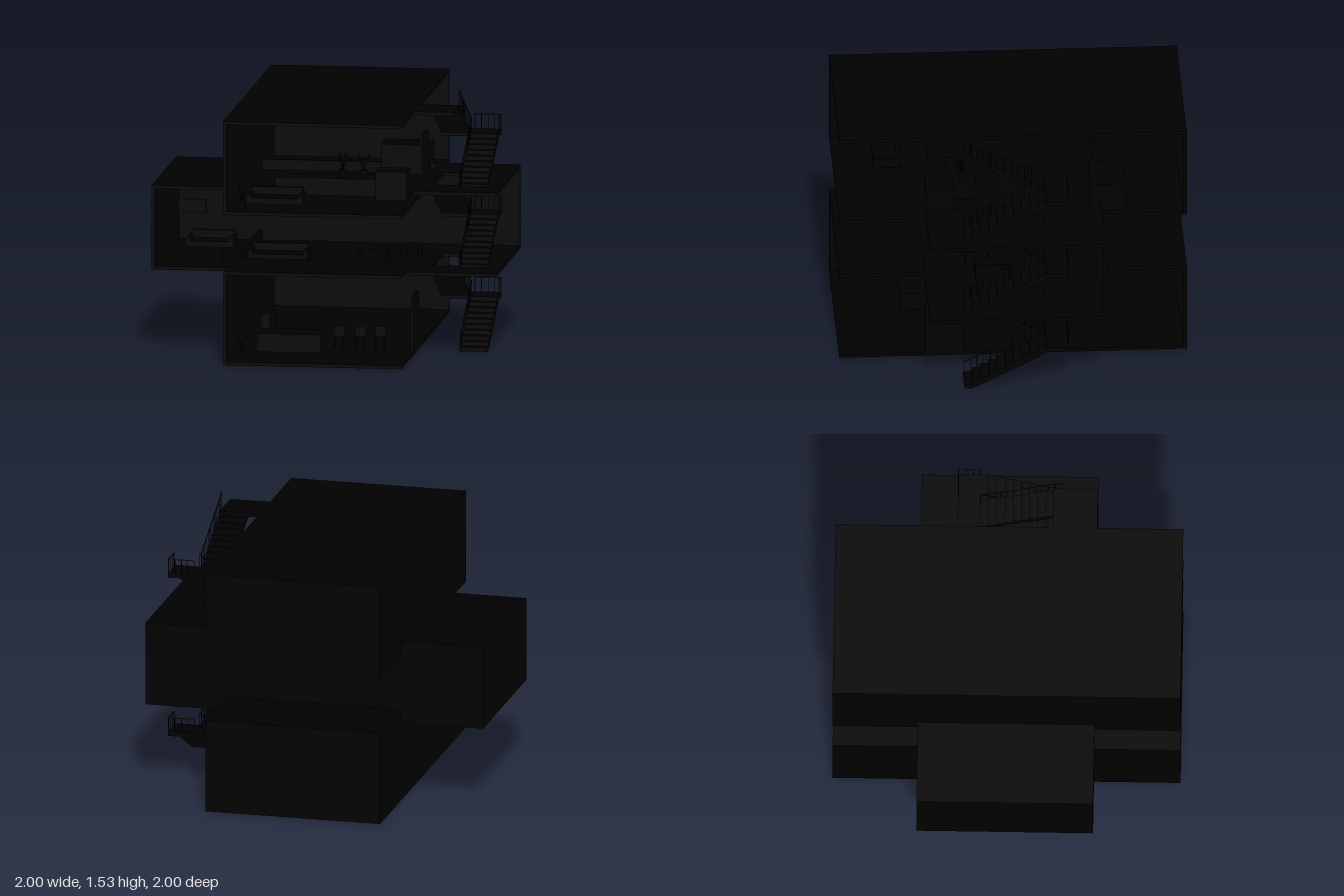
import * as THREE from 'three';

const black = new THREE.MeshStandardMaterial({ color: 0x000000, side: THREE.DoubleSide });
const T = 0.02; // slab and wall thickness

function add(parent, name, geometry) {
  const mesh = new THREE.Mesh(geometry, black);
  mesh.name = name;
  parent.add(mesh);
  return mesh;
}

// Box given by its extents on each axis
function block(parent, name, x0, x1, y0, y1, z0, z1) {
  const mesh = add(parent, name, new THREE.BoxGeometry(x1 - x0, y1 - y0, z1 - z0));
  mesh.position.set((x0 + x1) / 2, (y0 + y1) / 2, (z0 + z1) / 2);
  return mesh;
}

// Thin round bar between two points
function bar(parent, name, a, b, r = 0.002) {
  const from = new THREE.Vector3(...a), to = new THREE.Vector3(...b);
  const dir = to.clone().sub(from);
  const mesh = add(parent, name, new THREE.CylinderGeometry(r, r, dir.length(), 5));
  mesh.position.copy(from).add(to).multiplyScalar(0.5);
  mesh.quaternion.setFromUnitVectors(new THREE.Vector3(0, 1, 0), dir.normalize());
}

// Handrail with evenly spaced posts above the line a-b
function railing(parent, a, b, posts, h) {
  const up = (p) => [p[0], p[1] + h, p[2]];
  bar(parent, 'handrail', up(a), up(b), 0.003);
  for (let i = 0; i <= posts; i++) {
    const p = a.map((v, k) => v + ((b[k] - v) * i) / posts);
    bar(parent, 'railPost', p, up(p));
  }
}

// Sawtooth flight running from z0 to z1 while rising y0 to y1
function flight(parent, x0, x1, y0, y1, z0, z1, steps = 10) {
  const dz = (z1 - z0) / steps, dy = (y1 - y0) / steps;
  const shape = new THREE.Shape();
  shape.moveTo(z0, y0);
  for (let i = 0; i < steps; i++) {
    shape.lineTo(z0 + dz * i, y0 + dy * (i + 1));
    shape.lineTo(z0 + dz * (i + 1), y0 + dy * (i + 1));
  }
  shape.lineTo(z1, y1 - 0.035);
  shape.lineTo(z0 + dz, y0);
  const geometry = new THREE.ExtrudeGeometry(shape, { depth: x1 - x0, bevelEnabled: false });
  geometry.rotateY(-Math.PI / 2).translate(x1, 0, 0);
  add(parent, 'stairFlight', geometry);
}

// Dog-leg staircase for one storey
function staircase(parent, y0, y2) {
  const g = new THREE.Group();
  g.name = 'staircase';
  parent.add(g);
  const y1 = y0 + 0.25;
  flight(g, 0.76, 0.92, y0, y1, 0.3, -0.17);
  flight(g, 0.595, 0.755, y1, y2, -0.17, 0.3);
  block(g, 'landing', 0.595, 0.92, y1 - 0.025, y1, -0.3, -0.17);
  railing(g, [0.765, y0, 0.3], [0.765, y1, -0.17], 12, 0.09);
  railing(g, [0.755, y1, -0.17], [0.755, y2, 0.3], 12, 0.1);
  railing(g, [0.765, y1, -0.298], [0.918, y1, -0.298], 4, 0.085);
  railing(g, [0.918, y1, -0.298], [0.918, y1, -0.17], 3, 0.085);
}

// Slab on the stair wing, left open above the upper flight
function stairSlab(parent, name, x0, x1, y0, y1) {
  const s = new THREE.Shape();
  s.moveTo(x0, -0.505).lineTo(x1, -0.505).lineTo(x1, 0.51).lineTo(x0, 0.51);
  const hole = new THREE.Path();
  hole.moveTo(0.595, -0.3).lineTo(0.595, 0.17).lineTo(0.757, 0.17).lineTo(0.757, -0.3);
  s.holes.push(hole);
  const geometry = new THREE.ExtrudeGeometry(s, { depth: y1 - y0, bevelEnabled: false });
  add(parent, name, geometry.rotateX(-Math.PI / 2).translate(0, y0, 0));
}

// Table or seat on four legs
function table(parent, name, x, y, z, w, d, h, back = 0) {
  const g = new THREE.Group();
  g.name = name;
  g.position.set(x, y, z);
  parent.add(g);
  block(g, 'top', -w / 2, w / 2, h - 0.008, h, -d / 2, d / 2);
  for (const sx of [-1, 1]) for (const sz of [-1, 1]) {
    const px = sx * (w / 2 - 0.005), pz = sz * (d / 2 - 0.005);
    bar(g, 'leg', [px, 0, pz], [px, h, pz], 0.004);
  }
  if (back) block(g, 'backrest', -w / 2, w / 2, h, h + back, -d / 2, -d / 2 + 0.007);
}

function sofa(parent, x, y, z, w) {
  const g = new THREE.Group();
  g.name = 'sofa';
  g.position.set(x, y, z);
  parent.add(g);
  block(g, 'seat', -w / 2, w / 2, 0.01, 0.045, -0.07, 0.07);
  block(g, 'backrest', -w / 2, w / 2, 0.01, 0.09, -0.09, -0.06);
  for (const s of [-1, 1]) block(g, 'armrest', s * w / 2 - 0.013, s * w / 2 + 0.013, 0.01, 0.065, -0.09, 0.07);
}

function plant(parent, x, y, z, h) {
  const g = new THREE.Group();
  g.name = 'plant';
  g.position.set(x, y, z);
  parent.add(g);
  add(g, 'pot', new THREE.CylinderGeometry(0.025, 0.018, 0.05, 10)).position.y = 0.025;
  for (let i = 0; i < 6; i++) {
    const a = i * 1.05;
    bar(g, 'stem', [0, 0.04, 0], [0.03 * Math.cos(a), h - 0.01 * (i % 3), 0.03 * Math.sin(a)], 0.003);
  }
}

export function createModel() {
  const house = new THREE.Group();
  house.name = 'house';

  // Lower and upper volumes run front to back, open at the front and right
  for (const [name, y0, y1] of [['lower', 0.005, 0.55], ['upper', 0.88, 1.425]]) {
    block(house, name + 'Floor', -0.515, 0.52, y0, y0 + T, -1, 1);
    block(house, name + 'LeftWall', -0.515, -0.515 + T, y0, y1, -1, 1);
    block(house, name + 'BackWall', -0.515, 0.52, y0, y1, -1, -1 + T);
  }
  block(house, 'upperRoof', -0.515, 0.52, 1.405, 1.425, -1, 1);
  block(house, 'lowerRoofFront', -0.515, 0.52, 0.53, 0.55, 0.505, 1);
  block(house, 'lowerRoofBack', -0.515, 0.52, 0.53, 0.55, -1, -0.51);

  // Middle volume runs side to side
  block(house, 'middleFloor', -1, 0.52, 0.47, 0.49, -0.51, 0.505);
  stairSlab(house, 'middleStairFloor', 0.52, 1, 0.47, 0.49);
  block(house, 'middleLeftWall', -1, -1 + T, 0.47, 0.96, -0.51, 0.505);
  block(house, 'middleBackWall', -1, 1, 0.47, 0.96, -0.51, -0.51 + T);
  block(house, 'middleRoofLeft', -1, -0.515, 0.94, 0.96, -0.51, 0.505);
  stairSlab(house, 'middleRoofRight', 0.52, 1, 0.94, 0.96);

  // Stairs and roof platform
  staircase(house, 0, 0.49);
  staircase(house, 0.48, 0.96);
  staircase(house, 0.95, 1.425);
  block(house, 'roofPlatform', 0.52, 0.757, 1.405, 1.425, 0.25, 0.505);

  // Entrance doors
  block(house, 'lowerDoor', 0.505, 0.52, 0.02, 0.345, 0.28, 0.505);
  block(house, 'upperDoor', 0.505, 0.52, 0.9, 1.22, -0.12, 0.09);

  // Lower room
  block(house, 'counter', -0.37, 0, 0.02, 0.13, 0.42, 0.62);
  for (const x of [0.08, 0.2, 0.32]) table(house, 'chair', x, 0.025, 0.45, 0.06, 0.06, 0.07, 0.06);
  block(house, 'shelf', -0.42, -0.37, 0.02, 0.16, -0.2, 0.1);
  plant(house, -0.42, 0.02, 0.85, 0.14);

  // Middle room
  sofa(house, -0.3, 0.49, 0.2, 0.32);
  sofa(house, -0.75, 0.49, -0.2, 0.25);
  table(house, 'coffeeTable', -0.55, 0.49, 0.25, 0.16, 0.1, 0.05);
  table(house, 'diningTable', 0.25, 0.49, 0.2, 0.18, 0.14, 0.09);
  table(house, 'desk', 0.46, 0.49, 0.12, 0.1, 0.2, 0.09);
  block(house, 'picture', -0.98, -0.82, 0.64, 0.72, -0.49, -0.48);

  // Upper room
  block(house, 'kitchenIsland', -0.3, 0.3, 0.9, 1.0, 0.2, 0.36);
  block(house, 'sideCounter', 0.2, 0.48, 0.9, 1.07, -0.65, -0.45);
  block(house, 'cabinet', 0.3, 0.48, 0.9, 1.07, 0.34, 0.5);
  sofa(house, -0.25, 0.9, 0.7, 0.3);
  plant(house, 0.08, 0.99, 0.28, 0.16);
  plant(house, 0.2, 0.99, 0.28, 0.14);
  plant(house, -0.42, 0.9, 0.88, 0.15);

  return house;
}
